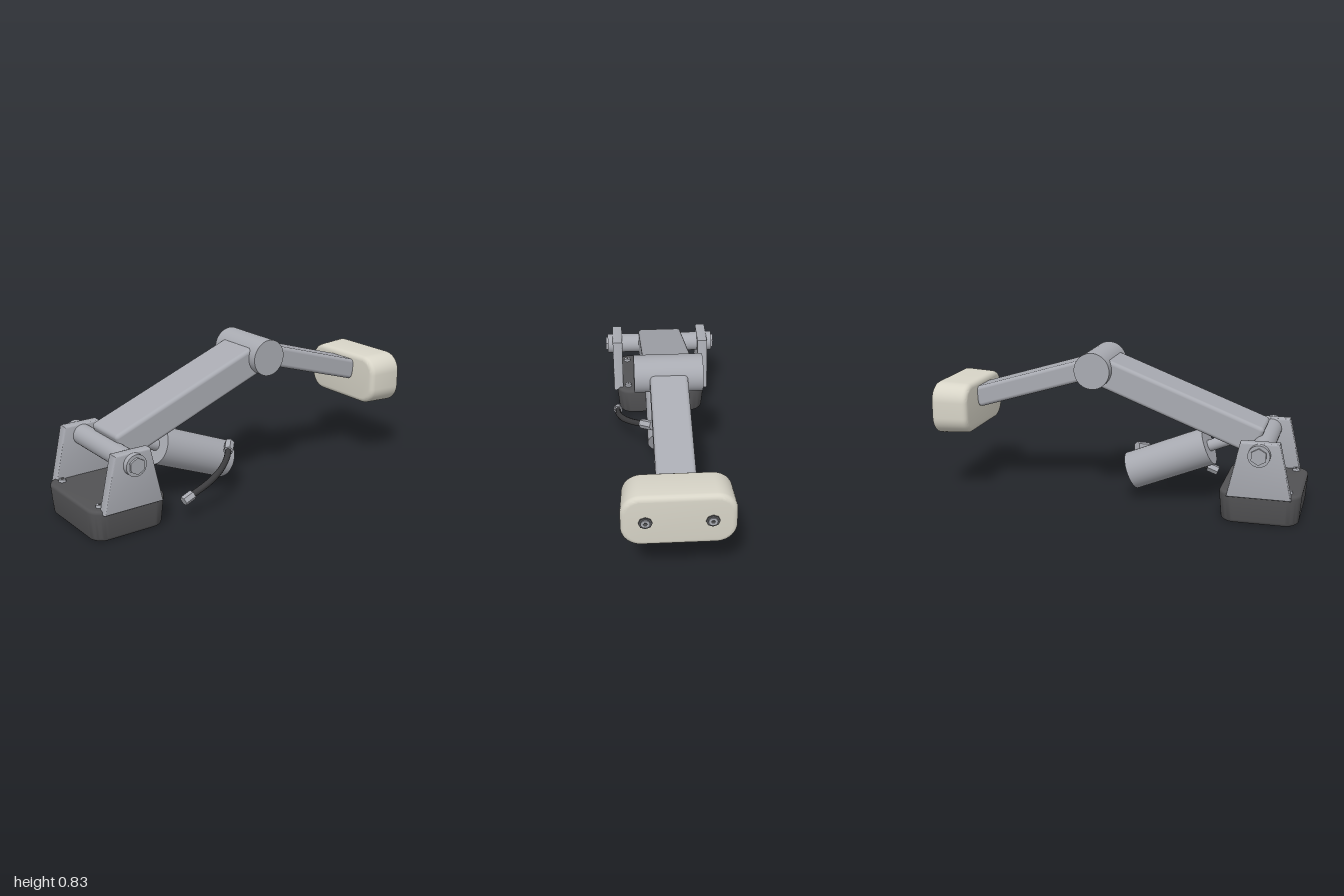
import * as THREE from 'three';
import { toCreasedNormals } from 'three/addons/utils/BufferGeometryUtils.js';
import { RoundedBoxGeometry } from 'three/addons/geometries/RoundedBoxGeometry.js';

const material = (name, color) => new THREE.MeshStandardMaterial({ name, color });

// Rounded rectangle extruded along z from 0 to d, narrowed at z = 0 by the taper factors
function roundedPrism(w, h, d, r, bevel, taperX, taperY) {
  const a = w / 2 - bevel, b = h / 2 - bevel, c = r - bevel;
  const s = new THREE.Shape();
  s.absarc(a - c, b - c, c, 0, Math.PI / 2);
  s.absarc(-a + c, b - c, c, Math.PI / 2, Math.PI);
  s.absarc(-a + c, -b + c, c, Math.PI, Math.PI * 1.5);
  s.absarc(a - c, -b + c, c, Math.PI * 1.5, Math.PI * 2);
  const g = new THREE.ExtrudeGeometry(s, {
    depth: d - 2 * bevel, bevelEnabled: true, bevelSize: bevel,
    bevelThickness: bevel, bevelSegments: 4, curveSegments: 6
  });
  g.translate(0, 0, bevel);
  const p = g.attributes.position;
  for (let i = 0; i < p.count; i++) {
    const t = p.getZ(i) / d;
    p.setX(i, p.getX(i) * (taperX + (1 - taperX) * t));
    p.setY(i, p.getY(i) * (taperY + (1 - taperY) * t));
  }
  return toCreasedNormals(g, 0.6);
}

export function createModel() {
  const model = new THREE.Group();
  model.name = 'jointedArm';
  const metal = material('greyMetal', 0xa9abb2);
  const dark = material('darkBase', 0x525254);
  const cream = material('creamPad', 0xd8d5c8);
  const rubber = material('blackCable', 0x3c3c3e);

  const add = (name, geometry, mat, x = 0, y = 0, z = 0) => {
    const mesh = new THREE.Mesh(geometry, mat);
    mesh.name = name;
    mesh.position.set(x, y, z);
    model.add(mesh);
    return mesh;
  };

  // Cylinder between two points
  const rod = (name, from, to, radius, mat, sides = 32) => {
    const a = new THREE.Vector3(...from), b = new THREE.Vector3(...to);
    const dir = b.clone().sub(a);
    let g = new THREE.CylinderGeometry(radius, radius, dir.length(), sides);
    if (sides < 10) g = toCreasedNormals(g, 0.3);
    const mesh = add(name, g, mat);
    mesh.position.copy(a).add(b).multiplyScalar(0.5);
    mesh.quaternion.setFromUnitVectors(new THREE.Vector3(0, 1, 0), dir.normalize());
    return mesh;
  };

  // Rounded beam between two points in the xy plane
  const beam = (name, x0, y0, x1, y1, thick, width, radius) => {
    const len = Math.hypot(x1 - x0, y1 - y0);
    const mesh = add(name, new RoundedBoxGeometry(len, thick, width, 4, radius), metal,
      (x0 + x1) / 2, (y0 + y1) / 2, 0);
    mesh.rotation.z = Math.atan2(y1 - y0, x1 - x0);
  };

  // Base block
  const baseX = -0.786;
  const base = roundedPrism(0.424, 0.528, 0.166, 0.08, 0.018, 0.94, 0.945);
  base.rotateX(-Math.PI / 2);
  add('base', base, dark, baseX, 0, 0);

  // Screws on the base
  for (const sx of [-1, 1]) for (const sz of [-1, 1]) {
    const x = baseX + sx * 0.145, z = sz * 0.195;
    add('baseScrew', new THREE.CylinderGeometry(0.017, 0.021, 0.016, 16), metal, x, 0.171, z);
    add('baseScrewSocket', new THREE.CylinderGeometry(0.008, 0.008, 0.002, 6), dark, x, 0.1795, z);
  }

  // Side brackets
  const plate = new THREE.Shape();
  plate.moveTo(-0.155, 0.156);
  plate.lineTo(0.155, 0.156);
  plate.lineTo(0.092, 0.431);
  plate.lineTo(-0.092, 0.431);
  plate.closePath();
  const bracket = toCreasedNormals(new THREE.ExtrudeGeometry(plate, {
    depth: 0.041, bevelEnabled: true, bevelSize: 0.008, bevelThickness: 0.008, bevelSegments: 3
  }).translate(0, 0, -0.0205), 0.6);

  // Shoulder axle with a bolt at each end
  const axleY = 0.381;
  for (const s of [-1, 1]) {
    add('bracket', bracket, metal, baseX, 0, s * 0.2535);
    rod('axleWasher', [baseX, axleY, s * 0.27], [baseX, axleY, s * 0.311], 0.056, metal);
    rod('axleBolt', [baseX, axleY, s * 0.3], [baseX, axleY, s * 0.323], 0.043, metal, 6);
  }
  rod('shoulderAxle', [baseX, axleY, -0.28], [baseX, axleY, 0.28], 0.055, metal);

  // Arms and elbow
  beam('lowerArm', -0.763, 0.397, 0.10, 0.725, 0.155, 0.252, 0.02);
  rod('elbow', [0.112, 0.73, -0.175], [0.112, 0.73, 0.175], 0.096, metal, 48);
  beam('upperArm', 0.12, 0.734, 0.80, 0.5285, 0.112, 0.192, 0.02);

  // Actuator with its thin rod
  rod('actuatorRod', [-0.772, 0.443, 0], [-0.45, 0.311, 0], 0.031, metal, 24);
  rod('actuatorBody', [-0.486, 0.326, 0], [-0.067, 0.155, 0], 0.102, metal, 32);

  // End pad
  const pad = roundedPrism(0.544, 0.286, 0.2, 0.1, 0.026, 0.95, 0.94);
  pad.rotateY(Math.PI / 2);
  add('endPad', pad, cream, 0.787, 0.488, 0);

  // Pad bolts
  for (const s of [-1, 1]) {
    const y = 0.487, z = s * 0.155;
    rod('padBoltRing', [0.97, y, z], [0.992, y, z], 0.033, dark, 8);
    rod('padBoltHead', [0.985, y, z], [0.998, y, z], 0.022, metal, 16);
    rod('padBoltSocket', [0.996, y, z], [1.0, y, z], 0.01, dark, 6);
  }

  // Cable and its connectors
  const path = new THREE.CatmullRomCurve3([
    [-0.115, 0.252, 0.125], [-0.17, 0.228, 0.18], [-0.25, 0.197, 0.232],
    [-0.34, 0.163, 0.258], [-0.45, 0.122, 0.262]
  ].map(p => new THREE.Vector3(...p)));
  add('cable', new THREE.TubeGeometry(path, 20, 0.017, 8), rubber);
  rod('cableUpperConnector', [-0.072, 0.268, 0.075], [-0.122, 0.25, 0.133], 0.027, metal, 6);
  rod('cableLowerConnector', [-0.437, 0.126, 0.262], [-0.494, 0.104, 0.264], 0.026, metal, 6);

  return model;
}
